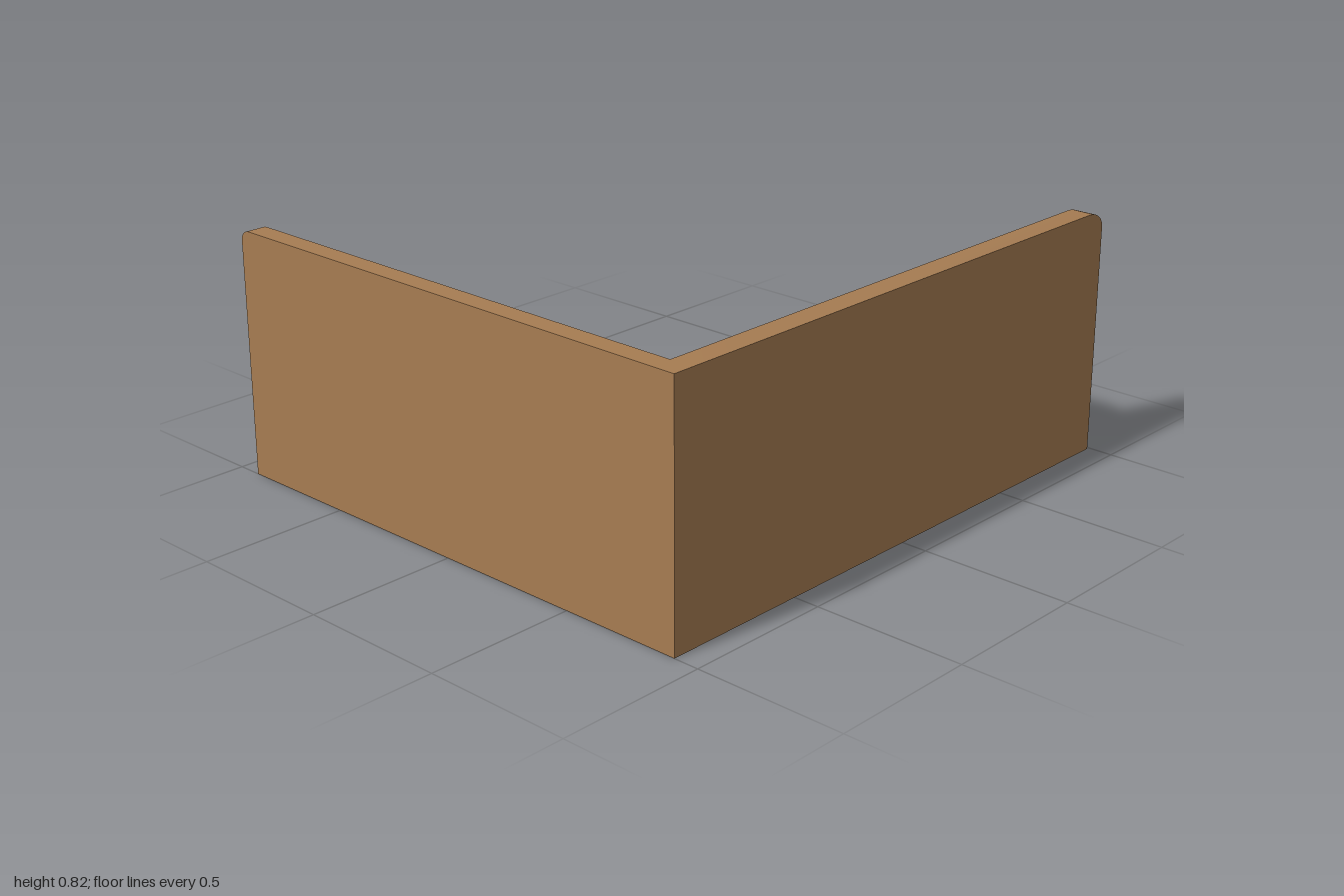
import * as THREE from 'three';
import { toCreasedNormals } from 'three/addons/utils/BufferGeometryUtils.js';
import { RoundedBoxGeometry } from 'three/addons/geometries/RoundedBoxGeometry.js';

const HEIGHT = 0.82, SEAT = 0.39, CUSHION_TOP = 0.46;
const X = 0.915, Z = 1, Z_END = -0.99;

// Backrest section: insets from the outer x and z walls, and height
function section(h) {
  const t = (HEIGHT - h) / (HEIGHT - CUSHION_TOP);
  return [
    [0, 0, 0], [0, 0, h],
    [0.08 + 0.07 * t, 0.07 + 0.045 * t, h],
    [0.15, 0.115, CUSHION_TOP], [0.15, 0.115, 0],
  ];
}

// Loft from the rounded free end to the mitred corner
function backrestGeometry(alongZ, run, drop) {
  const rings = [];
  const steps = 6;
  for (let i = 0; i <= steps; i++) {
    const a = (i / steps) * Math.PI / 2;
    const d = run * (1 - Math.cos(a));
    rings.push(section(HEIGHT - drop * (1 - Math.sin(a))).map(([dx, dz, y]) =>
      alongZ ? [X - dx, y, Z_END + d] : [-X + d, y, Z - dz]));
  }
  rings.push(section(HEIGHT).map(([dx, dz, y]) => [X - dx, y, Z - dz]));

  const pos = [];
  const tri = (a, b, c) => pos.push(...a, ...(alongZ ? b : c), ...(alongZ ? c : b));
  for (let i = 0; i < rings.length - 1; i++) {
    const p = rings[i], q = rings[i + 1];
    for (let j = 0; j < 5; j++) {
      const k = (j + 1) % 5;
      tri(p[j], p[k], q[j]);
      tri(p[k], q[k], q[j]);
    }
  }
  for (let j = 1; j < 4; j++) tri(rings[0][0], rings[0][j + 1], rings[0][j]);

  const g = new THREE.BufferGeometry();
  g.setAttribute('position', new THREE.Float32BufferAttribute(pos, 3));
  return toCreasedNormals(g, 0.45);
}

// L-shaped plinth with softened free corners
function baseGeometry() {
  const s = new THREE.Shape();
  s.moveTo(0.765, Z_END);
  s.lineTo(0.765, 0.885);
  s.lineTo(-X, 0.885);
  s.lineTo(-X, 0.42);
  s.quadraticCurveTo(-X, 0.38, -0.89, 0.38);
  s.lineTo(0.262, 0.38);
  s.lineTo(0.262, -0.94);
  s.quadraticCurveTo(0.262, Z_END, 0.282, Z_END);
  s.closePath();
  const g = new THREE.ExtrudeGeometry(s, { depth: SEAT, bevelEnabled: false, curveSegments: 5 });
  g.rotateX(Math.PI / 2);
  g.translate(0, SEAT, 0);
  return toCreasedNormals(g, 0.6);
}

export function createModel() {
  const wood = new THREE.MeshStandardMaterial({ color: 0xa67c52 });
  wood.name = 'tan wood';
  const leather = new THREE.MeshStandardMaterial({ color: 0x542210 });
  leather.name = 'dark brown leather';

  const group = new THREE.Group();
  group.name = 'cornerBench';
  const add = (name, geometry, material) => {
    const mesh = new THREE.Mesh(geometry, material);
    mesh.name = name;
    group.add(mesh);
    return mesh;
  };

  add('base', baseGeometry(), wood);
  add('sideBackrest', backrestGeometry(true, 0.075, 0.055), wood);
  add('frontBackrest', backrestGeometry(false, 0.035, 0.035), wood);

  // Seat cushions
  const cushion = (name, x0, x1, z0, z1) =>
    add(name, new RoundedBoxGeometry(x1 - x0, CUSHION_TOP - SEAT, z1 - z0, 3, 0.015), leather)
      .position.set((x0 + x1) / 2, (SEAT + CUSHION_TOP) / 2, (z0 + z1) / 2);
  cushion('sideCushion', 0.255, 0.765, -1, 0.372);
  cushion('frontCushion', -X, 0.765, 0.373, 0.885);

  return group;
}
